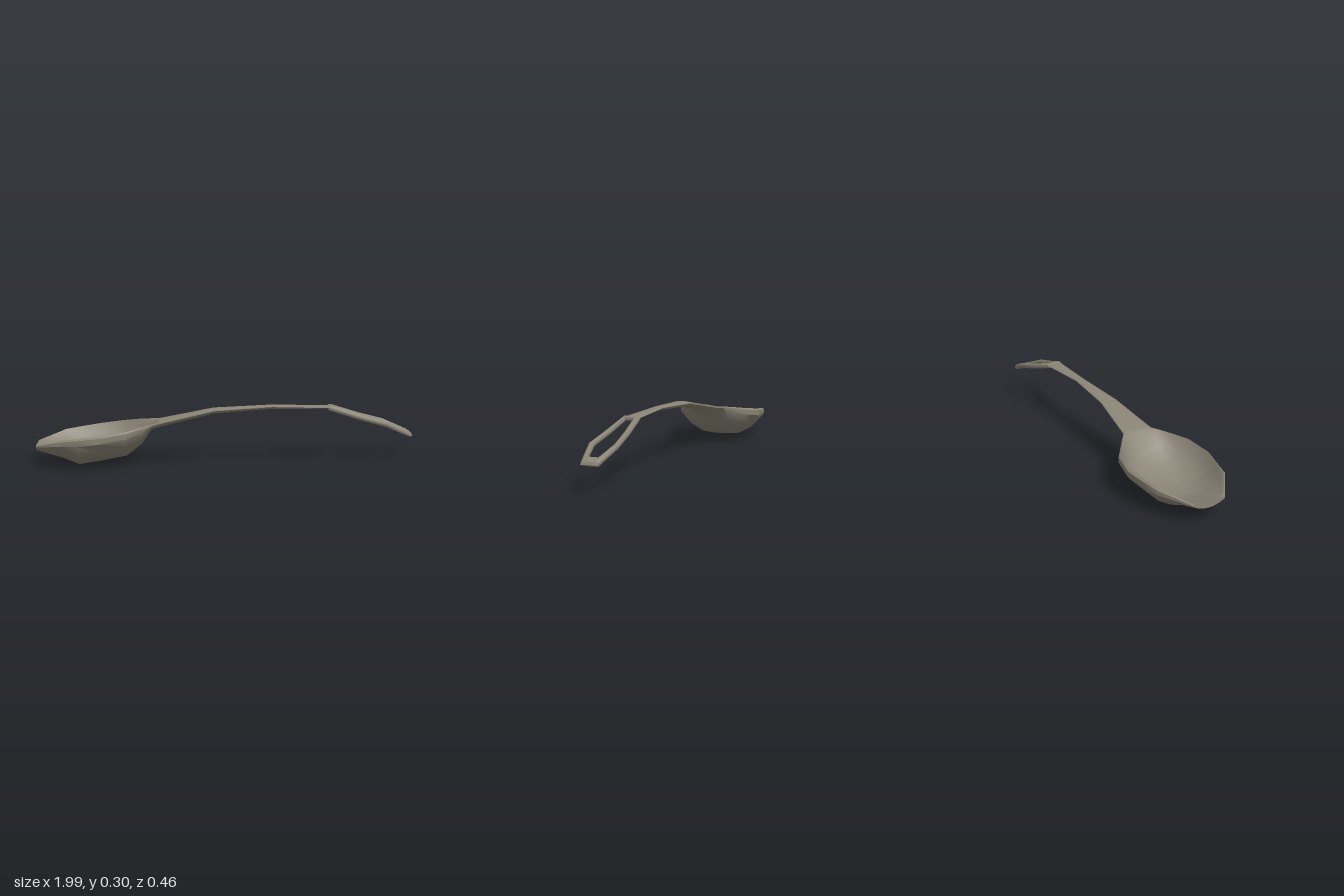
import * as THREE from 'three';
import { toCreasedNormals } from 'three/addons/utils/BufferGeometryUtils.js';

// Skins a list of equal rings of points, either closing on itself or capped at both ends
function loft(rings, closed, crease) {
  const n = rings[0].length, m = rings.length, pos = [], index = [];
  rings.forEach((r) => r.forEach((p) => pos.push(p.x, p.y, p.z)));
  for (let i = 0; i < (closed ? m : m - 1); i++) {
    const r0 = i * n, r1 = ((i + 1) % m) * n;
    for (let j = 0; j < n; j++) {
      const k = (j + 1) % n;
      index.push(r0 + j, r0 + k, r1 + k, r0 + j, r1 + k, r1 + j);
    }
  }
  if (!closed) {
    [0, m - 1].forEach((i) => {
      const c = new THREE.Vector3();
      rings[i].forEach((p) => c.addScaledVector(p, 1 / n));
      const id = pos.length / 3;
      pos.push(c.x, c.y, c.z);
      for (let j = 0; j < n; j++) {
        const a = i * n + j, b = i * n + ((j + 1) % n);
        index.push(id, ...(i ? [a, b] : [b, a]));
      }
    });
  }
  const g = new THREE.BufferGeometry();
  g.setAttribute('position', new THREE.Float32BufferAttribute(pos, 3));
  g.setIndex(index);
  return toCreasedNormals(g, crease);
}

// Half profiles as [fraction of width, fraction of depth], rim to centre
const OUTER = [[1, 0.06], [1, 0.25], [0.77, 0.58], [0.65, 0.72], [0.31, 0.96], [0, 1]];
const INNER = [[0.95, 0], [0.86, 0.3], [0.72, 0.6], [0.5, 0.86], [0.25, 0.97], [0, 1]];

// One cross-section: half width, rim height, underside height, depth of the hollow
function section([x, w, top, bottom, dish]) {
  const half = (profile, depth, s) => profile.map(([f, g]) => new THREE.Vector3(x, top - g * depth, s * f * w));
  const across = (profile, depth, s) => [
    ...half(profile, depth, s),
    ...half(profile, depth, -s).reverse().slice(1),
  ];
  return [...across(OUTER, top - bottom, 1), ...across(INNER, dish, -1)];
}

export function createModel() {
  const group = new THREE.Group();
  const metal = new THREE.MeshStandardMaterial({ color: 0x8a8475 });
  metal.name = 'dull metal';
  const add = (name, geometry) => {
    const mesh = new THREE.Mesh(geometry, metal);
    mesh.name = name;
    group.add(mesh);
  };

  // Bowl, from the tip to the neck
  const neck = [-0.36, 0.08, 0.228, 0.195, -0.001];
  add('bowl', loft([
    [-1, 0.09, 0.116, 0.08, 0],
    [-0.975, 0.107, 0.123, 0.073, 0.02],
    [-0.86, 0.19, 0.158, 0.04, 0.09],
    [-0.78, 0.207, 0.169, 0.005, 0.13],
    [-0.66, 0.23, 0.184, 0.024, 0.138],
    [-0.53, 0.207, 0.202, 0.048, 0.128],
    [-0.45, 0.148, 0.216, 0.11, 0.075],
    [-0.4, 0.11, 0.223, 0.185, 0.018],
    neck,
  ].map(section), false, 0.75));

  // Arched handle, thinnest past the middle
  add('handle', loft([
    neck,
    [-0.07, 0.045, 0.285, 0.262, -0.006],
    [0.24, 0.025, 0.299, 0.283, -0.006],
    [0.56, 0.043, 0.291, 0.281, -0.005],
  ].map(section), false, 0.75));

  // Hanging loop: outer edge and inner edge points of one side, mirrored to the other
  const side = [
    [[0.54, 0.289, 0.042], [0.575, 0.284, 0.022]],
    [[0.7, 0.24, 0.064], [0.71, 0.238, 0.036]],
    [[0.85, 0.2, 0.077], [0.84, 0.202, 0.05]],
    [[0.993, 0.135, 0.045], [0.945, 0.162, 0.026]],
  ];
  const mirrored = side.map((pair) => pair.map(([x, y, z]) => [x, y, -z])).reverse();
  const lift = new THREE.Vector3(0.35, 0.93, 0).multiplyScalar(0.015);
  const loop = [...side, ...mirrored].map(([o, i]) => {
    const outer = new THREE.Vector3(...o), inner = new THREE.Vector3(...i);
    const centre = outer.clone().add(inner).multiplyScalar(0.5);
    const reach = outer.clone().sub(centre);
    return Array.from({ length: 8 }, (_, j) => {
      const a = (j / 8) * Math.PI * 2;
      return centre.clone().addScaledVector(reach, Math.cos(a)).addScaledVector(lift, -Math.sin(a));
    });
  });
  add('hangingLoop', loft(loop, true, 0.85));

  return group;
}
